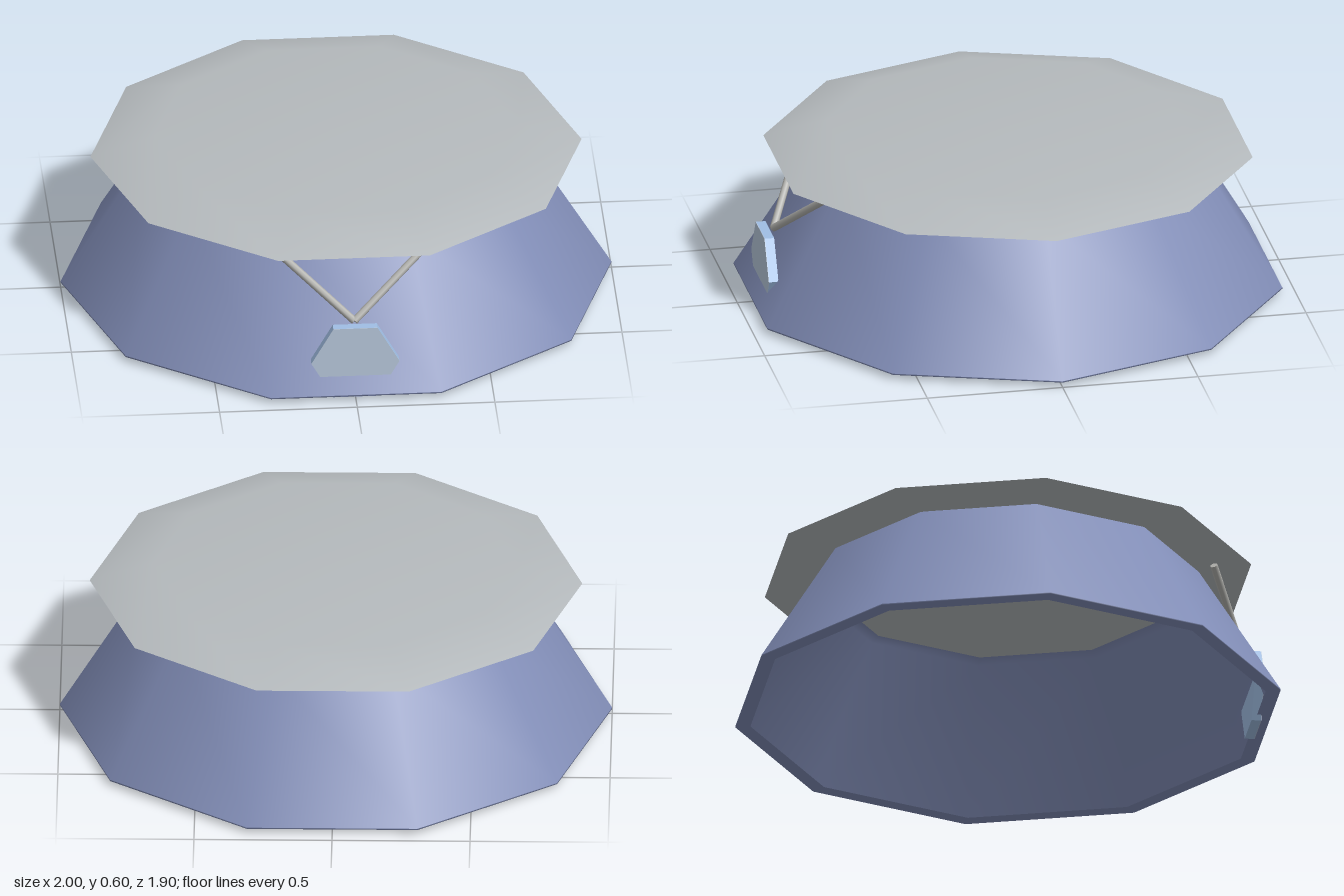
import * as THREE from 'three';

const SIDES = 10;

export function createModel() {
  const group = new THREE.Group();
  const mat = (name, color, side = THREE.FrontSide) => {
    const m = new THREE.MeshStandardMaterial({ color, side });
    m.name = name;
    return m;
  };
  const blue = mat('slate blue', 0x828eb8, THREE.DoubleSide);
  const grey = mat('pale grey', 0xb5babd);
  const metal = mat('warm grey', 0xb1b1ad);
  const sky = mat('light blue', 0xa0bee4);
  const frost = mat('frosted blue', 0xb6c6da);

  const add = (name, geometry, material) => {
    const mesh = new THREE.Mesh(geometry, material);
    mesh.name = name;
    group.add(mesh);
    return mesh;
  };
  // Ten-sided turned surface with corners on the x axis
  const turned = (points) => new THREE.LatheGeometry(
    points.map(([r, y]) => new THREE.Vector2(r, y)), SIDES, Math.PI / 2);

  // Thin sloping wall with a soft shoulder, open above and below
  add('wall', turned([[1, 0.025], [0.7, 0.515], [0.66, 0.535]]), blue);
  // Flat lip turned inward under the wall
  add('bottomRim', turned([[0.945, 0.02], [1, 0.02], [1, 0.025]]), blue);

  // Shallow overhanging lid: soft upper side, flat underside
  add('lidTop', turned([[0.892, 0.532], [0.66, 0.605], [0, 0.605]]), grey);
  add('lidUnderside', turned([[0, 0.532], [0.892, 0.532]]), grey);

  // Hexagonal badge passing through the front wall, with a paler face
  const hex = new THREE.Shape();
  for (let i = 0; i < 6; i++) {
    const a = (i * Math.PI) / 3;
    hex[i ? 'lineTo' : 'moveTo'](0.16 * Math.cos(a), 0.16 * Math.sin(a));
  }
  hex.closePath();
  const hexPlate = (name, z, depth, material) => add(name,
    new THREE.ExtrudeGeometry(hex, { depth, bevelEnabled: false }), material)
    .position.set(0, 0.14, z);
  hexPlate('badge', 0.88, 0.034, sky);
  hexPlate('badgeFace', 0.914, 0.002, frost);

  // Dark strip on the badge tip below the rim
  add('badgeTip', new THREE.BoxGeometry(0.165, 0.02, 0.002), blue)
    .position.set(0, 0.011, 0.917);

  // Two slim rods rising from the badge in a V
  for (const s of [1, -1]) {
    const from = new THREE.Vector3(0, 0.284, 0.866);
    const to = new THREE.Vector3(0.285 * s, 0.513, 0.71);
    const dir = to.clone().sub(from);
    const rod = add(s > 0 ? 'leftRod' : 'rightRod',
      new THREE.CylinderGeometry(0.014, 0.014, dir.length(), 8), metal);
    rod.position.copy(from).add(to).multiplyScalar(0.5);
    rod.quaternion.setFromUnitVectors(new THREE.Vector3(0, 1, 0), dir.normalize());
  }
  return group;
}
